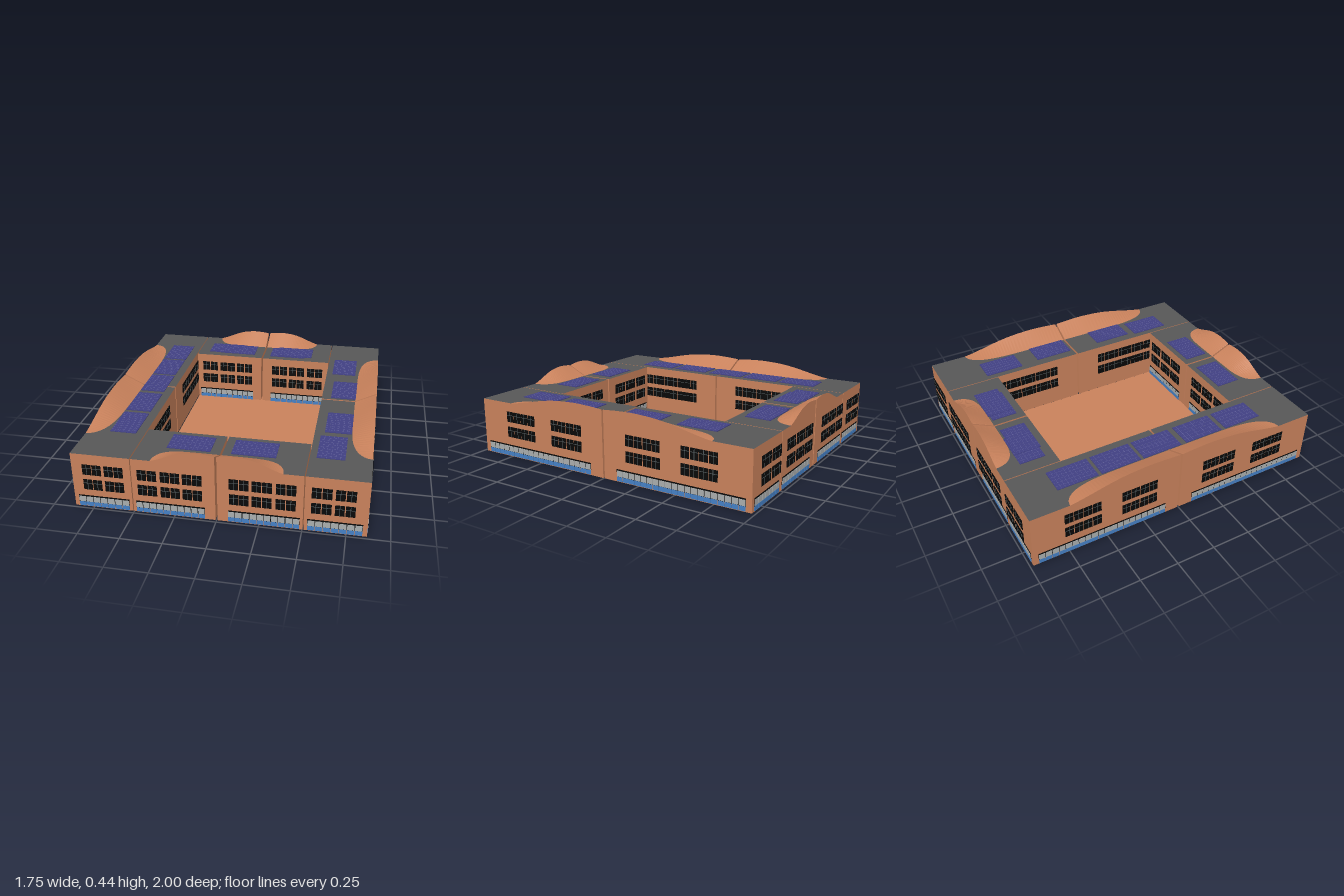
import * as THREE from 'three';
import { mergeGeometries } from 'three/addons/utils/BufferGeometryUtils.js';

const paint = (name, color) => {
  const m = new THREE.MeshStandardMaterial({ color });
  m.name = name;
  return m;
};
const brick = paint('brick orange', 0xc8815b);
const roofGray = paint('roof gray', 0x575757);
const black = paint('black', 0x080808);
const muntin = paint('window bar gray', 0x566062);
const paneGray = paint('pane gray', 0xa9adad);
const blue = paint('panel blue', 0x4580c4);
const solar = paint('solar blue', 0x403f82);
const solarLine = paint('solar line', 0x62629c);

const H = 0.36;          // wall height
const X = 0.868, Z = 0.98; // outer walls
const IX = 0.505, IZ = 0.62; // courtyard walls
const GAP = 0.006;       // half of the slot between blocks

const box = (x0, x1, y0, y1, z0, z1) =>
  new THREE.BoxGeometry(x1 - x0, y1 - y0, z1 - z0)
    .translate((x0 + x1) / 2, (y0 + y1) / 2, (z0 + z1) / 2);

function addMesh(parent, name, geometry, material) {
  const mesh = new THREE.Mesh(geometry, material);
  mesh.name = name;
  parent.add(mesh);
  return mesh;
}

// Windows and base strips of one wall: x runs along it, z points out of it
function facade(name, x, z, turn, centres, strips, standoff) {
  const g = new THREE.Group();
  g.name = name;
  g.position.set(x, 0, z);
  g.rotation.y = turn;
  const glass = [], bars = [], upper = [], lower = [], backing = [];
  const z0 = standoff - 0.004, z1 = standoff;
  for (const side of [-1, 1]) {
    for (const c of centres) {
      for (const y of [0.167, 0.268]) {
        for (const off of [-0.03, 0.03]) {
          const cx = side * c + off;
          glass.push(box(cx - 0.027, cx + 0.027, y - 0.034, y + 0.034, z0, z1));
          bars.push(box(cx - 0.0015, cx + 0.0015, y - 0.034, y + 0.034, z1, z1 + 0.001));
          bars.push(box(cx - 0.027, cx + 0.027, y + 0.009, y + 0.012, z1, z1 + 0.001));
        }
      }
    }
    for (const [a, b] of strips) {
      const n = Math.round((b - a) / 0.042), p = (b - a) / n;
      const s0 = side < 0 ? -b : a;
      backing.push(box(s0, s0 + b - a, 0.032, 0.078, 0, 0.002));
      for (let i = 0; i < n; i++) {
        const l = s0 + i * p;
        upper.push(box(l + 0.002, l + p - 0.002, 0.034, 0.07, 0.001, 0.004));
        lower.push(box(l + 0.0015, l + p - 0.0015, 0.004, 0.032, 0, 0.003));
      }
    }
  }
  addMesh(g, 'windowGlass', mergeGeometries(glass), black);
  addMesh(g, 'windowBars', mergeGeometries(bars), muntin);
  if (strips.length) {
    addMesh(g, 'stripFrame', mergeGeometries(backing), black);
    addMesh(g, 'stripPanes', mergeGeometries(upper), paneGray);
    addMesh(g, 'stripPanels', mergeGeometries(lower), blue);
  }
  return g;
}

// Curved parapet: a bell-shaped wall top with a slope down to the roof behind it
const bell = new THREE.SplineCurve([
  [0, 0.87], [0.16, 0.97], [0.31, 1], [0.5, 0.89], [0.65, 0.67], [0.8, 0.36], [0.92, 0.12], [1, 0],
].map(p => new THREE.Vector2(...p))).getPoints(36);

function parapetGeometry(length, depth, side) {
  const sections = bell.map(p => {
    const s = side * Math.max(p.x * length, GAP);
    const d = depth * Math.sqrt(Math.max(0, 1 - p.x ** 6));
    return [[s, H, 0], [s, H + 0.077 * Math.max(0, p.y), 0], [s, H + 0.0005, -d]];
  });
  if (side < 0) sections.reverse();
  const pos = [];
  const tri = (...pts) => pts.forEach(p => pos.push(...p));
  for (let i = 0; i < sections.length - 1; i++) {
    const [a0, b0, c0] = sections[i], [a1, b1, c1] = sections[i + 1];
    tri(a0, a1, b1); tri(a0, b1, b0);
    tri(b0, b1, c1); tri(b0, c1, c0);
  }
  const [a, b, c] = sections[0], [d, e, f] = sections[sections.length - 1];
  tri(a, b, c);
  tri(d, f, e);
  const geo = new THREE.BufferGeometry();
  geo.setAttribute('position', new THREE.Float32BufferAttribute(pos, 3));
  geo.computeVertexNormals();
  return geo;
}

function parapet(name, x, z, turn, length) {
  const g = new THREE.Group();
  g.name = name;
  g.position.set(x, 0, z);
  g.rotation.y = turn;
  for (const side of [-1, 1]) addMesh(g, 'parapetHalf', parapetGeometry(length, 0.137, side), brick);
  return g;
}

// Roof panel with thin cell lines
function solarPanel(x, z, alongX, lift) {
  const g = new THREE.Group();
  g.name = 'solarPanel';
  g.position.set(x, H + lift, z);
  if (alongX) g.rotation.y = Math.PI / 2;
  const w = 0.082, l = 0.132;
  addMesh(g, 'panelPlate', box(-w, w, 0, 0.004, -l, l), solar);
  const lines = [];
  for (let i = 1; i < 6; i++) {
    const c = -w + i * w / 3;
    lines.push(box(c - 0.0006, c + 0.0006, 0.004, 0.0045, -l, l));
  }
  for (let i = 1; i < 10; i++) {
    const c = -l + i * l / 5;
    lines.push(box(-w, w, 0.004, 0.0045, c - 0.0006, c + 0.0006));
  }
  addMesh(g, 'panelLines', mergeGeometries(lines), solarLine);
  return g;
}

export function createModel() {
  const model = new THREE.Group();
  model.name = 'courtyardBuilding';

  // Eight blocks round the courtyard: gray roof, black underside
  const blockColours = [brick, brick, roofGray, black, brick, brick];
  for (const sx of [-1, 1]) {
    for (const sz of [-1, 1]) {
      const wing = addMesh(model, 'wingBlock',
        new THREE.BoxGeometry(X - IX - 0.003, H, Z - GAP), blockColours);
      wing.position.set(sx * (X + IX + 0.003) / 2, H / 2, sz * (Z + GAP) / 2);
      const middle = addMesh(model, 'middleBlock',
        new THREE.BoxGeometry(IX - 0.003 - GAP, H, Z - IZ), blockColours);
      middle.position.set(sx * (IX - 0.003 + GAP) / 2, H / 2, sz * (Z + IZ) / 2);
    }
  }
  addMesh(model, 'courtyardFloor', box(-0.5, 0.5, 0.001, 0.006, -0.76, 0.67), brick);

  // Outer walls
  const endWindows = [0.136, 0.267, 0.404, 0.604, 0.737];
  const endStrips = [[0.068, 0.485], [0.527, 0.842]];
  const sideWindows = [0.222, 0.344, 0.597, 0.716];
  const sideStrips = [[0.097, 0.945]];
  const q = Math.PI / 2;
  model.add(
    facade('frontFacade', 0, Z, 0, endWindows, endStrips, 0.019),
    facade('backFacade', 0, -Z, Math.PI, endWindows, endStrips, 0.019),
    facade('leftFacade', X, 0, q, sideWindows, sideStrips, 0.005),
    facade('rightFacade', -X, 0, -q, sideWindows, sideStrips, 0.005),
  );

  // Courtyard walls
  const yardEnd = endWindows.slice(0, 3), yardSide = [0.225, 0.34, 0.455, 0.565];
  model.add(
    facade('courtyardFrontFacade', 0, IZ, Math.PI, yardEnd, [endStrips[0]], 0.006),
    facade('courtyardBackFacade', 0, -IZ, 0, yardEnd, [endStrips[0]], 0.006),
    facade('courtyardLeftFacade', IX + 0.003, 0, -q, yardSide, [], 0.006),
    facade('courtyardRightFacade', -IX - 0.003, 0, q, yardSide, [], 0.006),
  );

  // Curved parapets
  model.add(
    parapet('frontParapet', 0, Z, 0, 0.385),
    parapet('backParapet', 0, -Z, Math.PI, 0.385),
    parapet('leftParapet', X, 0, q, 0.735),
    parapet('rightParapet', -X, 0, -q, 0.735),
  );

  // Solar panels: x, z, lying along x, lift
  for (const z of [-0.612, -0.326, -0.04, 0.262, 0.557]) model.add(solarPanel(-0.645, z, false, 0.001));
  const others = [
    [0.63, -0.548, false, 0.001], [0.651, -0.156, false, 0.001],
    [0.651, 0.33, false, 0.001], [0.63, 0.643, false, 0.001],
    [-0.288, -0.762, true, 0.001], [-0.198, -0.75, true, 0.003],
    [0.187, -0.75, true, 0.001], [0.236, -0.762, true, 0.003],
    [-0.198, 0.74, true, 0.001], [0.188, 0.74, true, 0.001],
  ];
  for (const p of others) model.add(solarPanel(...p));

  return model;
}
